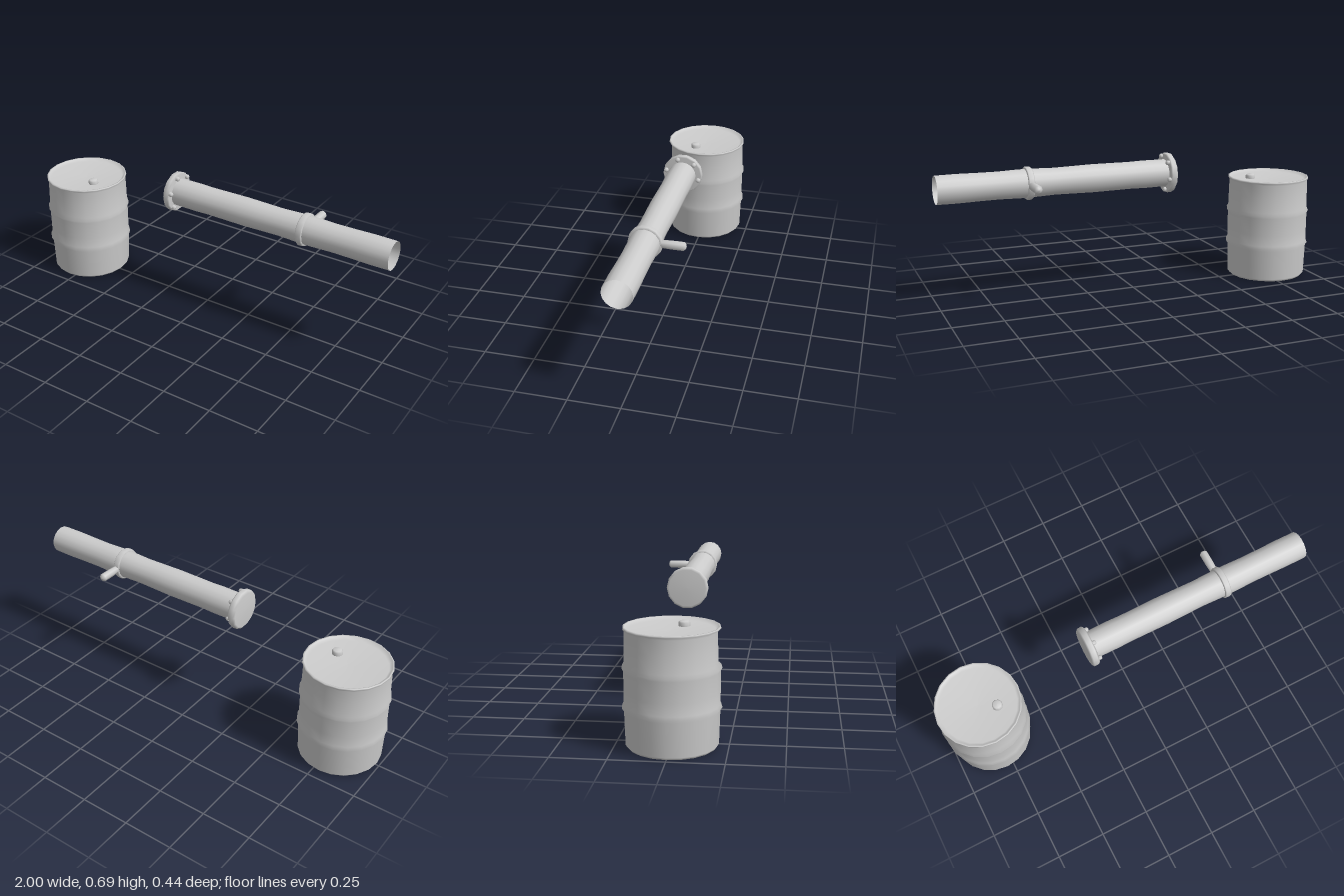
import * as THREE from 'three';

export function createModel() {
  const model = new THREE.Group();
  model.name = 'barrelAndPipe';
  const metal = new THREE.MeshStandardMaterial({ color: 0xcccccc, side: THREE.DoubleSide });
  metal.name = 'light grey metal';

  const lathe = (profile, sides) =>
    new THREE.LatheGeometry(profile.map(([r, y]) => new THREE.Vector2(r, y)), sides);
  const add = (parent, name, geometry, x = 0, y = 0, z = 0) => {
    const mesh = new THREE.Mesh(geometry, metal);
    mesh.name = name;
    mesh.position.set(x, y, z);
    parent.add(mesh);
    return mesh;
  };

  // Barrel: ribbed wall, rolled rim and recessed lid
  const barrel = new THREE.Group();
  barrel.name = 'barrel';
  barrel.position.x = -0.782;
  model.add(barrel);
  const drum = lathe([
    [0, 0], [0.196, 0], [0.206, 0.012], [0.211, 0.165], [0.22, 0.179], [0.212, 0.193],
    [0.212, 0.25], [0.212, 0.343], [0.219, 0.357], [0.211, 0.371], [0.209, 0.45],
    [0.207, 0.518], [0.213, 0.528], [0.212, 0.535], [0.204, 0.535], [0.19, 0.52], [0, 0.516],
  ], 20);
  // shallow dent in the upper front of the wall
  const pos = drum.attributes.position;
  for (let i = 0; i < pos.count; i++) {
    const y = pos.getY(i), z = pos.getZ(i);
    if (y > 0.36 && y < 0.519 && z > 0.195) pos.setZ(i, z - 0.009);
  }
  add(barrel, 'drum', drum);
  add(barrel, 'bungCap', lathe([[0.026, 0], [0.026, 0.017], [0.02, 0.024], [0, 0.025]], 10), 0.082, 0.517, 0.045);

  // Pipe assembly, lying along x
  const pipe = new THREE.Group();
  pipe.name = 'pipe';
  pipe.position.y = 0.594;
  model.add(pipe);
  const alongX = (profile, sides) => lathe(profile, sides).rotateZ(-Math.PI / 2);

  // slightly uneven open tube
  add(pipe, 'tube', alongX([
    [0.07, -0.18], [0.071, -0.05], [0.069, 0.02], [0.07, 0.12], [0.071, 0.22], [0.069, 0.32],
    [0.067, 0.42], [0.071, 0.54], [0.071, 0.6], [0.068, 0.7], [0.069, 0.8], [0.071, 0.9], [0.07, 1],
  ], 16));

  // end flange with chamfered outer face
  add(pipe, 'flange', alongX([
    [0, -0.209], [0.09, -0.208], [0.101, -0.2], [0.102, -0.178], [0.096, -0.17], [0, -0.17],
  ], 14));

  // six domed bolts on the flange
  for (let i = 0; i < 6; i++) {
    const a = THREE.MathUtils.degToRad(16 + i * 60);
    add(pipe, 'bolt', alongX([[0.012, 0], [0.012, 0.011], [0.008, 0.017], [0, 0.018]], 8),
      -0.172, 0.086 * Math.cos(a), 0.086 * Math.sin(a));
  }

  // clamp collar and its handle towards the back
  add(pipe, 'collar', alongX([
    [0.068, -0.016], [0.077, -0.016], [0.081, -0.011], [0.081, 0.011], [0.077, 0.016], [0.068, 0.016],
  ], 14), 0.55);
  const handle = lathe([
    [0, 0.062], [0.013, 0.066], [0.019, 0.08], [0.021, 0.12], [0.021, 0.178], [0.012, 0.187], [0, 0.19],
  ], 8).rotateX(-Math.PI / 2);
  add(pipe, 'handle', handle, 0.55);

  return model;
}
